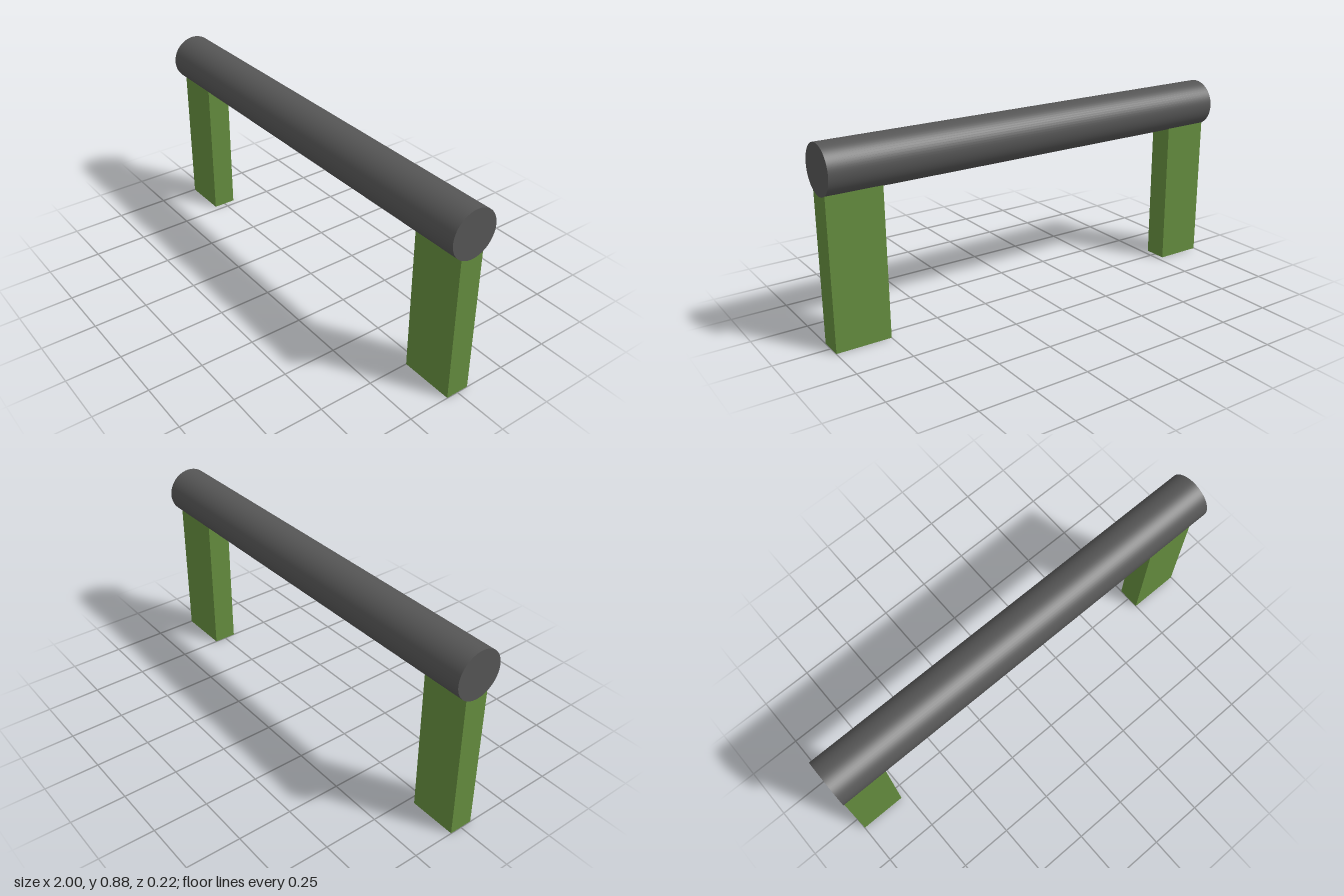
import * as THREE from 'three';

export function createModel() {
  const model = new THREE.Group();
  const green = new THREE.MeshStandardMaterial({ color: 0x648c3e });
  const darkGrey = new THREE.MeshStandardMaterial({ color: 0x555555 });

  // Round beam lying along x
  const beam = new THREE.Mesh(new THREE.CylinderGeometry(0.109, 0.109, 2, 64), darkGrey);
  beam.name = 'beam';
  beam.rotation.z = Math.PI / 2;
  beam.position.y = 0.77;
  model.add(beam);

  // Flat legs, slightly unequal in width, their tops sunk into the beam
  const legHeight = 0.69;
  const addLeg = (name, x0, x1) => {
    const leg = new THREE.Mesh(new THREE.BoxGeometry(x1 - x0, legHeight, 0.11), green);
    leg.name = name;
    leg.position.set((x0 + x1) / 2, legHeight / 2, 0);
    model.add(leg);
  };
  addLeg('rightLeg', -0.999, -0.78);
  addLeg('leftLeg', 0.75, 0.999);

  return model;
}
